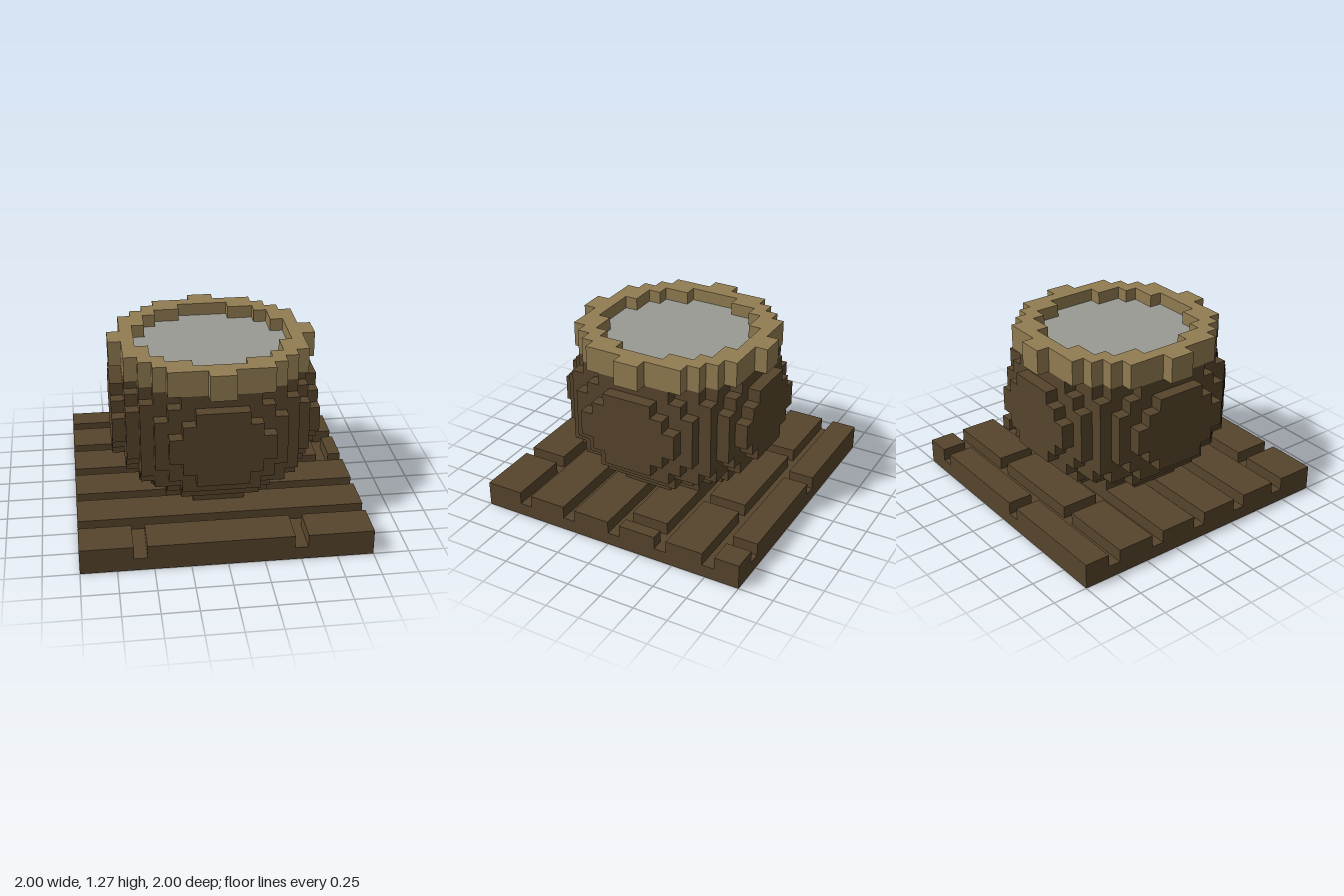
import * as THREE from 'three';

const U = 1 / 11; // edge of one block

const wood = new THREE.MeshStandardMaterial({ color: 0x57452c });
wood.name = 'darkWood';
const tan = new THREE.MeshStandardMaterial({ color: 0x927c52 });
tan.name = 'tanRim';
const grey = new THREE.MeshStandardMaterial({ color: 0x999a94 });
grey.name = 'greyFilling';

// Stepped outline of a disc of blocks; a block belongs if its centre lies within r2
function discPoints(r2) {
  const quarter = [];
  let last = 0;
  for (let i = 0; (i + 0.5) ** 2 + 0.25 < r2; i++) {
    const w = Math.floor(Math.sqrt(r2 - (i + 0.5) ** 2) + 0.5);
    if (w !== last) {
      if (i > 0) quarter.push([last, i]);
      quarter.push([w, i]);
      last = w;
    }
  }
  quarter.push([last, Math.floor(Math.sqrt(r2 - 0.25) + 0.5)]);
  quarter.shift(); // the point on the axis is not a corner
  const back = [...quarter].reverse();
  return [
    ...quarter,
    ...back.map(([x, y]) => [-x, y]),
    ...quarter.map(([x, y]) => [-x, -y]),
    ...back.map(([x, y]) => [x, -y]),
  ].map(([x, y]) => new THREE.Vector2(x * U, y * U));
}

function disc(name, r2, y0, y1, material, holeR2) {
  const shape = new THREE.Shape(discPoints(r2));
  if (holeR2) shape.holes.push(new THREE.Path(discPoints(holeR2)));
  const geo = new THREE.ExtrudeGeometry(shape, { depth: (y1 - y0) * U, bevelEnabled: false });
  geo.rotateX(-Math.PI / 2).translate(0, y0 * U, 0);
  const mesh = new THREE.Mesh(geo, material);
  mesh.name = name;
  return mesh;
}

// Box given by its limits in blocks
function block(name, x0, x1, y0, y1, z0, z1) {
  const geo = new THREE.BoxGeometry((x1 - x0) * U, (y1 - y0) * U, (z1 - z0) * U);
  geo.translate((x0 + x1) / 2 * U, (y0 + y1) / 2 * U, (z0 + z1) / 2 * U);
  const mesh = new THREE.Mesh(geo, wood);
  mesh.name = name;
  return mesh;
}

export function createModel() {
  const model = new THREE.Group();
  model.name = 'potOnPlankFloor';

  // Floor: a slab with rows of planks, each row cut by one-block joints
  const floor = new THREE.Group();
  floor.name = 'plankFloor';
  floor.add(block('floorSlab', -11, 11, 0, 1, -11, 11));
  const rows = [
    [-11, -9, [-2, 8]],
    [-8, -5, [-5, 4]],
    [-4, -1, [9]],
    [0, 3, []],
    [4, 7, []],
    [8, 11, [-7, 5]],
  ];
  for (const [z0, z1, joints] of rows) {
    let x = -11;
    for (const j of [...joints, 11]) {
      floor.add(block('plank', x, j, 1, 2, z0, z1));
      x = j + 1;
    }
  }
  model.add(floor);

  // Rounded body: one stepped disc per layer of a flattened ball
  const body = new THREE.Group();
  body.name = 'potBody';
  for (let y = 2; y < 12; y++) {
    body.add(disc('bodyLayer', 70 - 1.5 * (y + 0.5 - 8) ** 2, y, y + 1, wood));
  }
  model.add(body);

  // Rim ring and the filling, sunk one block below its top
  model.add(disc('rim', 57, 12, 14, tan, 34));
  model.add(disc('filling', 34, 12, 13, grey));
  return model;
}
